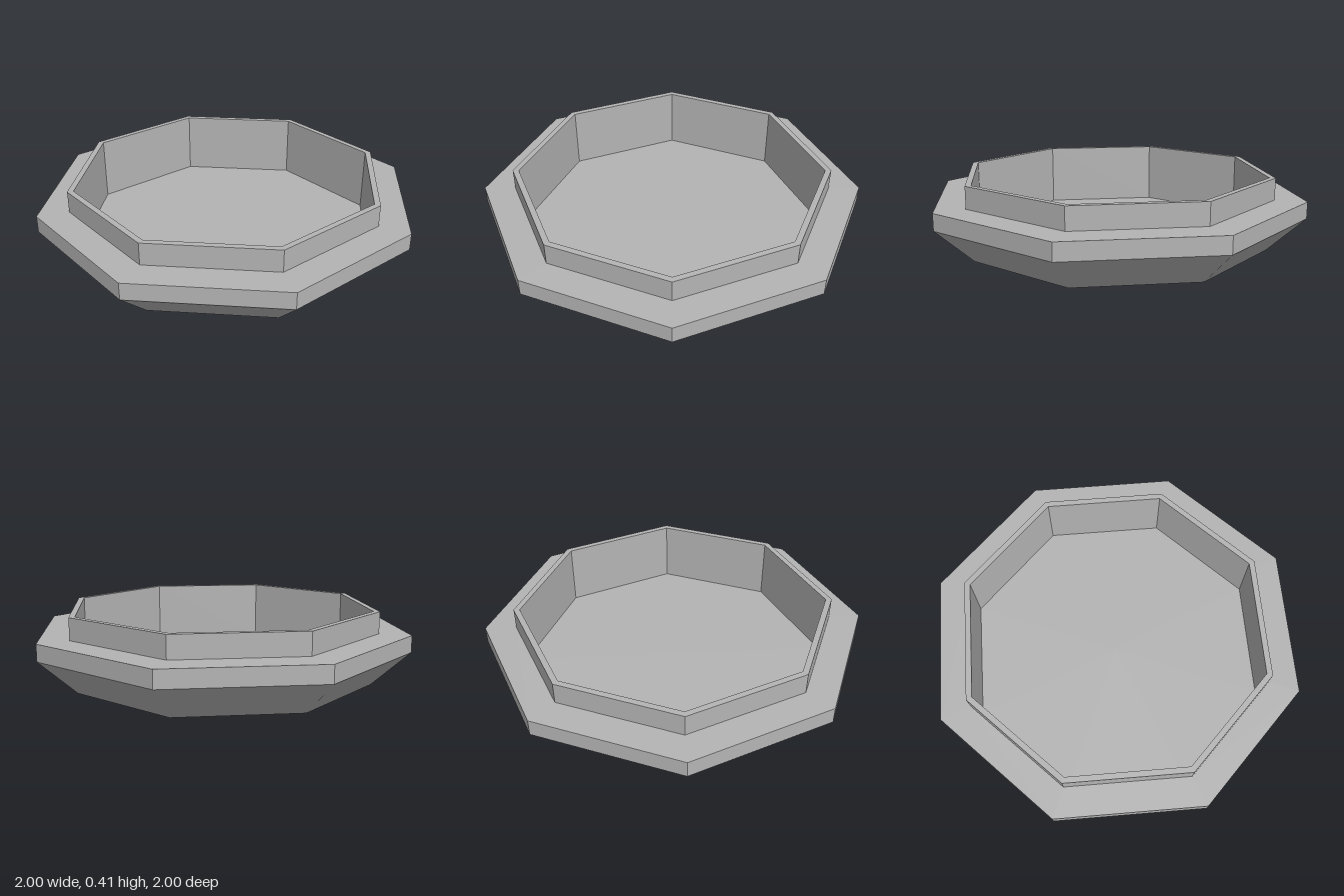
import * as THREE from 'three';

const GROOVE = 0.02; // engraving depth
const CORNER = 1 / Math.cos(Math.PI / 8); // apothem to corner radius

const polar = (r, t) => new THREE.Vector2(r * Math.cos(t), r * Math.sin(t));
const circle = (r) => new THREE.Path().absarc(0, 0, r, 0, Math.PI * 2, false);
const disc = (r) => new THREE.Shape().absarc(0, 0, r, 0, Math.PI * 2, false);

// Slanted bar running outwards from radius r0 to r1; s0 and s1 are sideways offsets
function bar(angle, r0, r1, s0, s1, width) {
  const h = width / 2;
  const pts = [[r0, s0 - h], [r1, s1 - h], [r1, s1 + h], [r0, s0 + h]];
  return new THREE.Path(pts.map(([x, y]) =>
    new THREE.Vector2(x, y).rotateAround(new THREE.Vector2(), angle)));
}

// Spiral groove, wound inwards
function spiral(width) {
  const outer = [], inner = [], n = 220;
  for (let i = 0; i <= n; i++) {
    const turn = 3.5 * i / n;
    const t = Math.PI + turn * Math.PI * 2, r = 0.385 - 0.1 * turn;
    outer.push(polar(r + width / 2, t));
    inner.push(polar(r - width / 2, t));
  }
  return new THREE.Path(outer.concat(inner.reverse()));
}

export function createModel() {
  const model = new THREE.Group();
  model.name = 'octagonalDish';
  const grey = new THREE.MeshStandardMaterial({ color: 0xb4b4b4 });
  grey.name = 'grey';

  const add = (name, geometry) => {
    const mesh = new THREE.Mesh(geometry, grey);
    mesh.name = name;
    model.add(mesh);
  };

  // Dish: flared base, rim ledge, raised lip and hollow inside
  const profile = [
    [0, GROOVE], [0.805, GROOVE], [0.805, 0], [1, 0.197], [1, 0.292],
    [0.837, 0.292], [0.837, 0.415], [0.805, 0.415], [0.805, 0.055], [0, 0.055],
  ].map(([a, y]) => new THREE.Vector2(a * CORNER, y));
  const dish = new THREE.LatheGeometry(profile, 8, Math.PI / 8).toNonIndexed();
  dish.computeVertexNormals();
  add('dish', dish);

  // Underside plates: the gaps and holes form the engraving
  const plate = (name, shape) => {
    const g = new THREE.ExtrudeGeometry(shape, { depth: GROOVE, bevelEnabled: false, curveSegments: 64 });
    g.rotateX(Math.PI / 2);
    g.translate(0, GROOVE, 0);
    add(name, g);
  };

  // Outer octagon with a diamond in each corner
  const corners = Array.from({ length: 8 }, (_, i) => Math.PI / 8 + i * Math.PI / 4);
  const octagon = new THREE.Shape(corners.map((t) => polar(0.805 * CORNER, t)));
  octagon.holes.push(circle(0.735));
  for (const t of corners) {
    const c = polar(0.79, t);
    octagon.holes.push(new THREE.Path([0, 1, 2, 3].map((k) =>
      polar(k % 2 ? 0.02 : 0.032, t + k * Math.PI / 2).add(c))));
  }
  plate('undersideBorder', octagon);

  // Dial band with twelve groups of strokes
  const band = disc(0.708);
  band.holes.push(circle(0.52));
  const strokes = [
    [[-0.03, -0.03], [0.03, 0.03]],
    [[-0.05, -0.05], [0.0, -0.015], [0.03, 0.055]],
    [[-0.015, -0.045], [0.015, 0.045]],
  ];
  for (let i = 0; i < 12; i++) {
    for (const [s0, s1] of strokes[i % 3]) {
      band.holes.push(bar(i * Math.PI / 6, 0.565, 0.665, s0, s1, 0.02));
    }
  }
  plate('dialBand', band);

  // Central disc with ticks and the spiral
  const centre = disc(0.493);
  for (let i = 0; i < 24; i++) {
    centre.holes.push(bar((i + 0.5) * Math.PI / 12, 0.415, 0.468, 0, 0, 0.018));
  }
  centre.holes.push(spiral(0.028));
  plate('spiralDisc', centre);

  return model;
}
